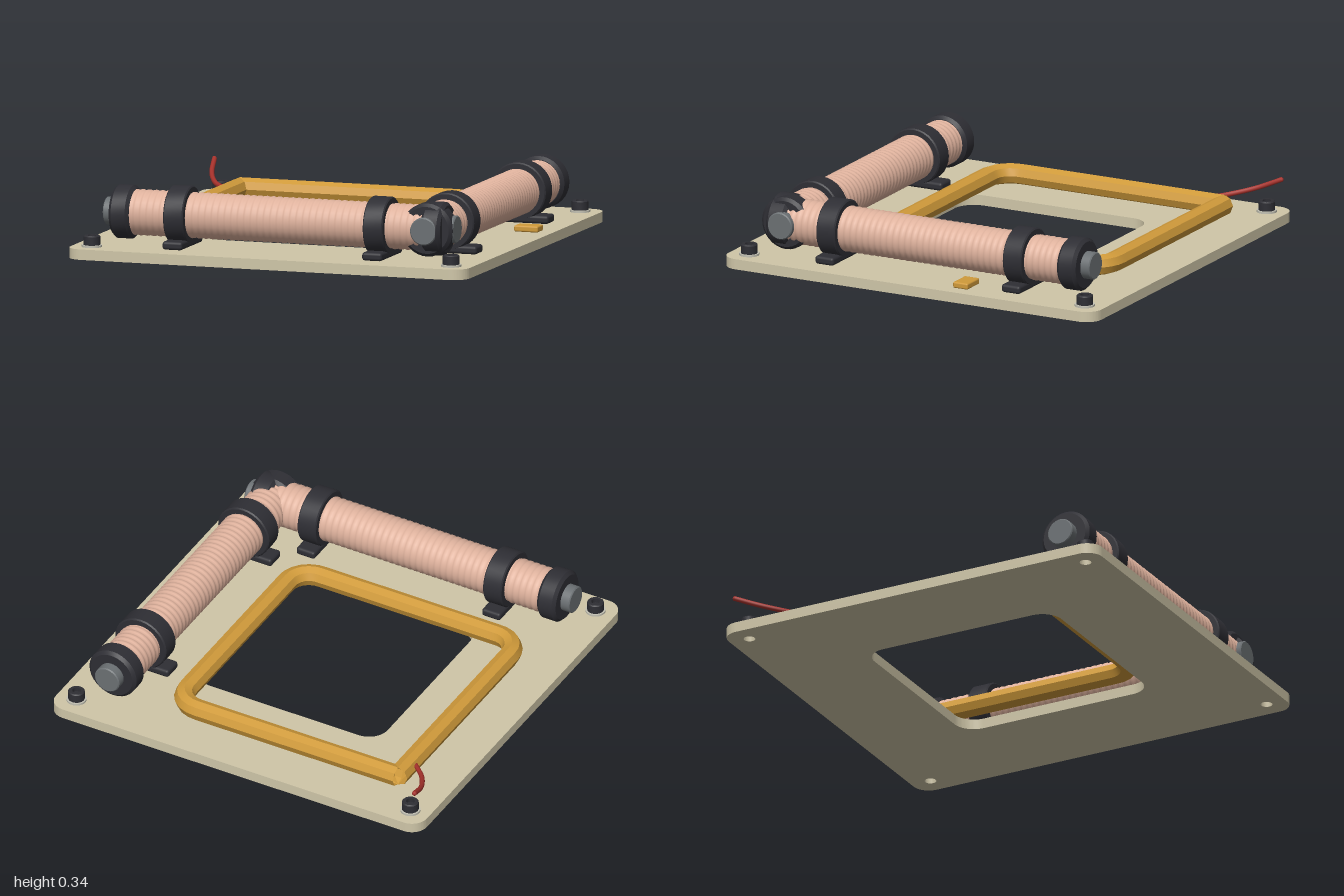
import * as THREE from 'three';
import { toCreasedNormals } from 'three/addons/utils/BufferGeometryUtils.js';
import { RoundedBoxGeometry } from 'three/addons/geometries/RoundedBoxGeometry.js';

const material = (name, color, options = {}) => {
  const m = new THREE.MeshStandardMaterial({ color, ...options });
  m.name = name;
  return m;
};

const add = (parent, name, geometry, mat, x = 0, y = 0, z = 0) => {
  const mesh = new THREE.Mesh(geometry, mat);
  mesh.name = name;
  mesh.position.set(x, y, z);
  parent.add(mesh);
  return mesh;
};

// Lathe from [radius, height] pairs, with crisp edges
const lathe = (profile, segments = 32) =>
  toCreasedNormals(new THREE.LatheGeometry(profile.map(([r, h]) => new THREE.Vector2(r, h)), segments), 0.5);

// Disc with bevelled rims, centred on its own middle
const bevelledDisc = (r, length, bevel) => {
  const h = length / 2;
  return lathe([[0, -h], [r - bevel, -h], [r, -h + bevel], [r, h - bevel], [r - bevel, h], [0, h]]);
};

const roundedSquare = (Type, half, r) => {
  const s = new Type();
  const c = half - r;
  s.absarc(c, c, r, 0, Math.PI / 2);
  s.absarc(-c, c, r, Math.PI / 2, Math.PI);
  s.absarc(-c, -c, r, Math.PI, Math.PI * 1.5);
  s.absarc(c, -c, r, Math.PI * 1.5, Math.PI * 2);
  s.closePath();
  return s;
};

const CORNERS = [[-0.9, -0.9], [0.9, -0.9], [-0.9, 0.9], [0.9, 0.9]];

// Board with a central window and four screw holes
function plateGeometry() {
  const shape = roundedSquare(THREE.Shape, 1, 0.08);
  shape.holes.push(roundedSquare(THREE.Path, 0.5, 0.1));
  for (const [x, z] of CORNERS) {
    const hole = new THREE.Path();
    hole.absarc(x, z, 0.028, 0, Math.PI * 2, true);
    shape.holes.push(hole);
  }
  const g = new THREE.ExtrudeGeometry(shape, { depth: 0.05, bevelEnabled: false, curveSegments: 10 });
  g.rotateX(-Math.PI / 2);
  return toCreasedNormals(g, 0.6);
}

// Flat winding: three rounded corners and one square joint at the back
function loopGeometry() {
  const a = -0.75, b = 0.45, r = 0.12, y = 0.1;
  const v = (x, z) => new THREE.Vector3(x, y, z);
  const path = new THREE.CurvePath();
  let from = v(a, a);
  for (const [x, z, dx, dz, ex, ez] of [[b, a, -r, 0, 0, r], [b, b, 0, -r, -r, 0], [a, b, r, 0, 0, -r]]) {
    const start = v(x + dx, z + dz), end = v(x + ex, z + ez);
    const k = 0.45;
    path.add(new THREE.LineCurve3(from, start));
    path.add(new THREE.CubicBezierCurve3(start, v(x + dx * k, z + dz * k), v(x + ex * k, z + ez * k), end));
    from = end;
  }
  path.add(new THREE.LineCurve3(from, v(a, a)));
  return toCreasedNormals(new THREE.TubeGeometry(path, 130, 0.05, 8, false), 0.45);
}

// Winding of wire rings around a rod
function windingGeometry() {
  const turns = 46, half = 0.75, pitch = (2 * half) / turns, points = [];
  for (let i = 0; i <= turns * 4; i++) {
    const bump = Math.abs(Math.sin((i / 4) * Math.PI));
    points.push(new THREE.Vector2(0.104 + 0.006 * bump, -half + (i / 4) * pitch));
  }
  return new THREE.LatheGeometry(points, 32);
}

export function createModel() {
  const model = new THREE.Group();
  model.name = 'coilBoard';

  const board = material('board tan', 0xcfc6a8);
  const black = material('black plastic', 0x2e2e34);
  const copper = material('pale copper', 0xdfb29d);
  const gold = material('gold winding', 0xd09a3a, { side: THREE.DoubleSide });
  const grey = material('core grey', 0x6b7073);
  const red = material('red wire', 0xa8322c);
  const silver = material('washer silver', 0xc4c2b4);

  add(model, 'basePlate', plateGeometry(), board);
  add(model, 'flatCoil', loopGeometry(), gold);
  add(model, 'contactPad', new RoundedBoxGeometry(0.12, 0.03, 0.08, 2, 0.008), gold, 0.875, 0.065, -0.25);

  // Lead wire rising from the flat coil
  const lead = new THREE.CatmullRomCurve3([
    new THREE.Vector3(-0.78, 0.11, -0.64),
    new THREE.Vector3(-0.86, 0.12, -0.72),
    new THREE.Vector3(-0.92, 0.15, -0.83),
    new THREE.Vector3(-0.95, 0.2, -0.95),
  ]);
  add(model, 'leadWire', new THREE.TubeGeometry(lead, 24, 0.012, 8), red);
  add(model, 'leadTip', new THREE.SphereGeometry(0.012, 8, 6), red, -0.95, 0.2, -0.95);

  // Screws: hollow head with a socket, sitting on a ring washer
  const head = lathe([[0.04, 0], [0.04, 0.04], [0.035, 0.045], [0.02, 0.045], [0.02, 0.025], [0, 0.025]], 16);
  const washer = lathe([[0.028, 0], [0.048, 0], [0.048, 0.01], [0.028, 0.01]], 20);
  for (const [x, z] of CORNERS) {
    add(model, 'screwHead', head, black, x, 0.06, z);
    add(model, 'washer', washer, silver, x, 0.05, z);
  }

  // Wound rods, each with core, end caps and two clamps
  const winding = windingGeometry();
  const core = bevelledDisc(0.066, 1.755, 0.005);
  const cap = bevelledDisc(0.127, 0.1, 0.015);
  const ring = bevelledDisc(0.138, 0.1, 0.006);
  const foot = new RoundedBoxGeometry(0.1, 0.04, 0.3, 2, 0.014);
  const makeRod = (name) => {
    const rod = new THREE.Group();
    rod.name = name;
    const along = (part, geometry, mat, x = 0) => {
      add(rod, part, geometry, mat, x).rotation.z = -Math.PI / 2;
    };
    along('winding', winding, copper);
    along('core', core, grey);
    for (const side of [-1, 1]) {
      along('endCap', cap, black, side * 0.78);
      along('clampRing', ring, black, side * 0.5);
      add(rod, 'clampFoot', foot, black, side * 0.5, -0.13, 0);
    }
    model.add(rod);
    return rod;
  };
  makeRod('frontRod').position.set(0, 0.203, 0.75);
  const sideRod = makeRod('sideRod');
  sideRod.position.set(0.75, 0.203, 0);
  sideRod.rotation.y = Math.PI / 2;

  return model;
}
